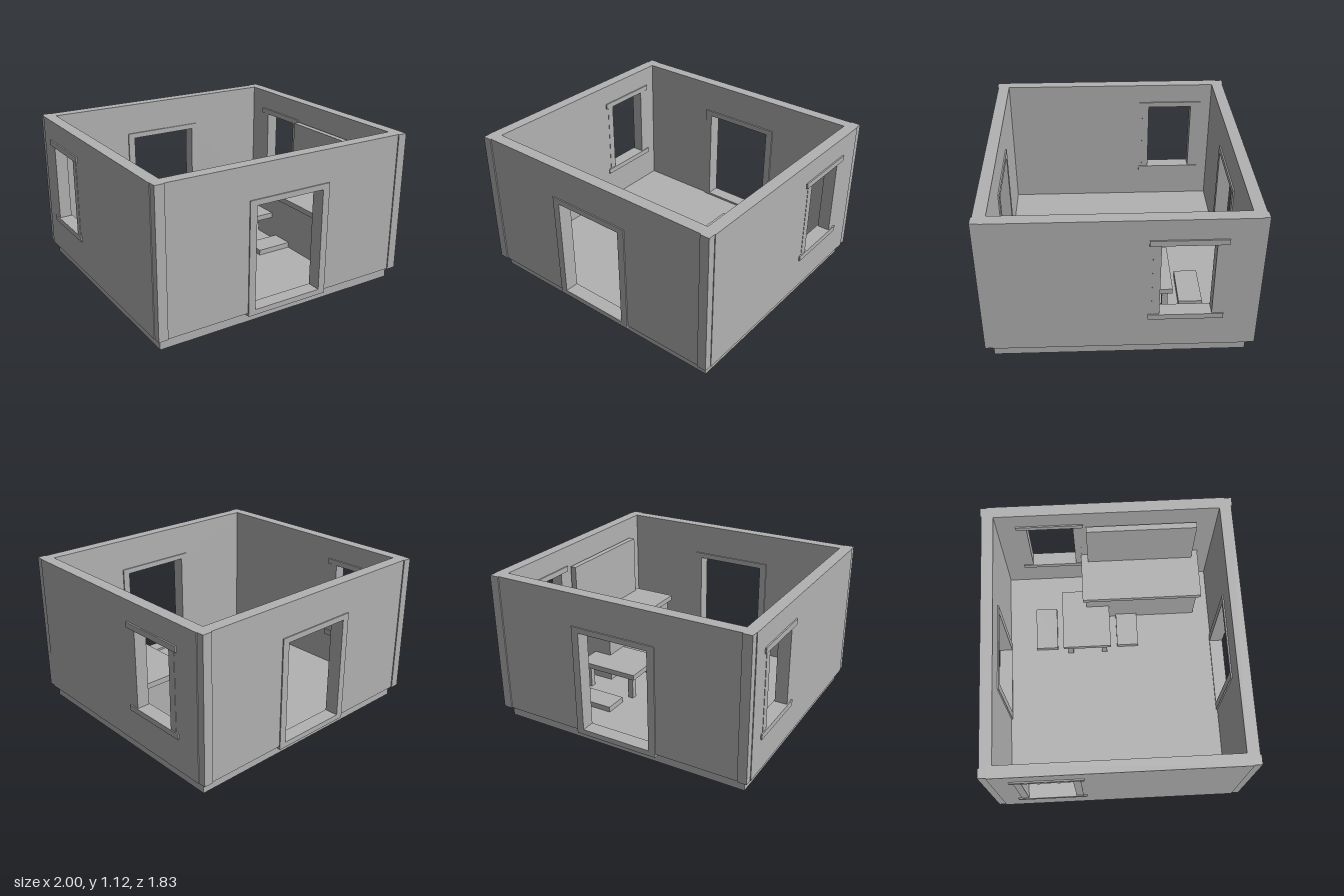
import * as THREE from 'three';

const grey = new THREE.MeshStandardMaterial({ color: 0xb2b2b2 });

// Box given by its min and max corners
function box(name, [x0, y0, z0], [x1, y1, z1]) {
  const mesh = new THREE.Mesh(new THREE.BoxGeometry(x1 - x0, y1 - y0, z1 - z0), grey);
  mesh.name = name;
  mesh.position.set((x0 + x1) / 2, (y0 + y1) / 2, (z0 + z1) / 2);
  return mesh;
}

// Upright panel with one rectangular opening; rectangles are [left, bottom, right, top]
function panel(name, [l, b, r, t], [hl, hb, hr, ht], near, far) {
  const shape = new THREE.Shape();
  shape.moveTo(l, b).lineTo(r, b).lineTo(r, t).lineTo(l, t).closePath();
  const hole = new THREE.Path();
  hole.moveTo(hl, hb).lineTo(hl, ht).lineTo(hr, ht).lineTo(hr, hb).closePath();
  shape.holes.push(hole);
  const geo = new THREE.ExtrudeGeometry(shape, { depth: far - near, bevelEnabled: false });
  geo.translate(0, 0, near);
  const mesh = new THREE.Mesh(geo, grey);
  mesh.name = name;
  return mesh;
}

export function createModel() {
  const model = new THREE.Group();
  model.name = 'openRoom';
  const bottom = 0.09, top = 1.12;

  model.add(box('floorSlab', [-0.95, 0, -0.86], [0.95, bottom, 0.86]));

  // Front and back walls, each with a framed doorway
  for (const [side, angle] of [['front', 0], ['back', Math.PI]]) {
    const wall = panel(side + 'Wall', [-0.95, bottom, 0.95, top], [-0.29, 0.1, 0.29, 0.865], 0.82, 0.905);
    const frame = panel(side + 'DoorFrame', [-0.318, 0.067, 0.318, 0.886], [-0.265, 0.106, 0.265, 0.846], 0.81, 0.913);
    for (const part of [wall, frame]) {
      part.rotation.y = angle;
      model.add(part);
    }
  }

  // Side walls with windows; the windows sit at slightly different depths
  for (const [side, sx, zc] of [['left', 1, -0.428], ['right', -1, -0.486]]) {
    const wall = panel(side + 'Wall', [-0.86, bottom, 0.86, top], [-zc - 0.2, 0.35, -zc + 0.2, 0.95], -0.0425, 0.0425);
    wall.rotation.y = Math.PI / 2;
    wall.position.x = sx * 0.9475;
    model.add(wall);

    const win = new THREE.Group();
    win.name = side + 'Window';
    win.position.set(sx * 0.9475, 0, zc);
    win.add(box('sill', [-0.0525, 0.327, -0.25], [0.0525, 0.367, 0.25]));
    win.add(box('lintel', [-0.0525, 0.93, -0.25], [0.0525, 0.97, 0.25]));
    for (const s of [-1, 1]) {
      const jamb = box('jamb', [-0.045, 0.367, -0.026], [0.045, 0.93, 0.026]);
      jamb.position.z = s * 0.199;
      win.add(jamb);
    }
    model.add(win);
  }

  // Corner posts
  for (const sx of [-1, 1]) for (const sz of [-1, 1]) {
    const post = box('cornerPost', [-0.0335, bottom, -0.04], [0.0335, top, 0.04]);
    post.position.x = sx * 0.9515;
    post.position.z = sz * 0.873;
    model.add(post);
  }

  // Low table with four legs
  const table = new THREE.Group();
  table.name = 'table';
  table.position.set(0.43, 0, -0.1925);
  table.add(box('tableTop', [-0.24, 0.263, -0.1875], [0.24, 0.303, 0.1875]));
  for (const sx of [-1, 1]) for (const sz of [-1, 1]) {
    const leg = box('tableLeg', [-0.021, bottom, -0.021], [0.021, 0.263, 0.021]);
    leg.position.x = sx * 0.189;
    leg.position.z = sz * 0.137;
    table.add(leg);
  }
  model.add(table);

  // Floor seats on both sides of the table
  for (const z of [-0.52, 0.135]) {
    model.add(box('floorSeat', [0.257, bottom, z - 0.085], [0.602, 0.13, z + 0.085]));
  }

  // Counter along the left wall with an upright back panel
  model.add(box('counterBase', [0.53, bottom, -0.185], [0.907, 0.45, 0.69]));
  model.add(box('counterTop', [0.505, 0.45, -0.21], [0.907, 0.49, 0.72]));
  model.add(box('counterBackPanel', [0.84, 0.49, -0.157], [0.885, 0.962, 0.668]));

  return model;
}
